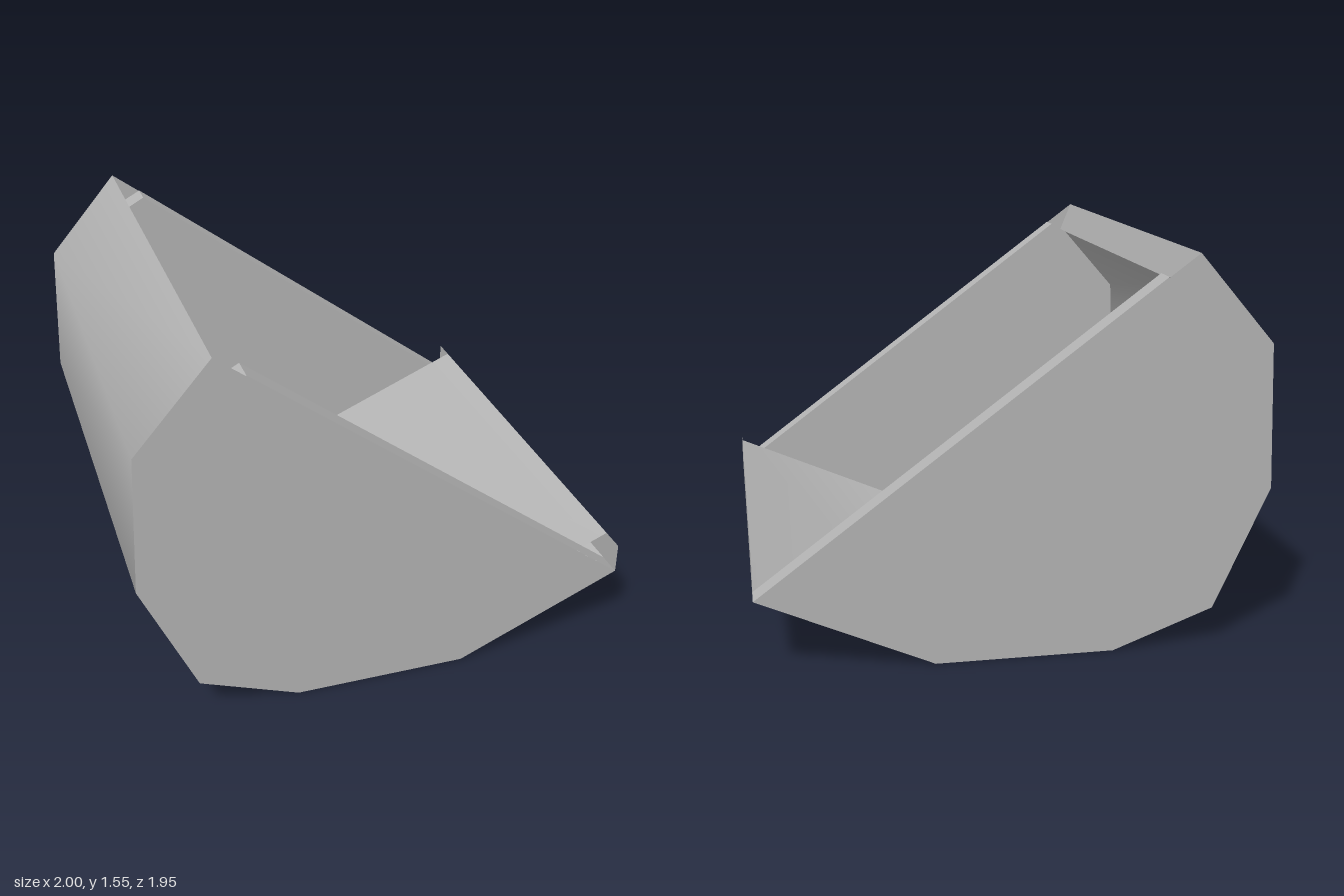
import * as THREE from 'three';

export function createModel() {
  const group = new THREE.Group();
  const grey = new THREE.MeshStandardMaterial({ color: 0xb4b4b4, side: THREE.DoubleSide });
  grey.name = 'plain grey';

  const HALF = 0.975;   // outer half length
  const INNER = 0.875;  // half length of the cavity

  // Cross-sections, from the upper lip round the back to the lower lip
  const outer = [[-0.68, 1.55], [-0.98, 1.2], [-1, 0.63], [-0.78, 0.15], [-0.38, 0], [0.32, 0], [1, 0.3]];
  const inner = [[-0.63, 1.425], [-0.87, 1.15], [-0.89, 0.65], [-0.69, 0.25], [-0.35, 0.12], [0.3, 0.12], [1, 0.425]];

  function add(name, geometry) {
    const mesh = new THREE.Mesh(geometry, grey);
    mesh.name = name;
    group.add(mesh);
    return mesh;
  }

  // Smooth sheet: a profile swept along z, facing the left of its direction
  function sheet(name, profile, z0, z1) {
    const positions = [], index = [];
    profile.forEach(([x, y], i) => {
      positions.push(x, y, z0, x, y, z1);
      if (i) {
        const a = 2 * i - 2;
        index.push(a, a + 1, a + 3, a, a + 3, a + 2);
      }
    });
    const geometry = new THREE.BufferGeometry();
    geometry.setAttribute('position', new THREE.Float32BufferAttribute(positions, 3));
    geometry.setIndex(index);
    geometry.computeVertexNormals();
    return add(name, geometry);
  }

  // Flat end plate facing +z or -z
  function plate(name, profile, z, facing) {
    const shape = new THREE.Shape(profile.map(([x, y]) => new THREE.Vector2(x, y)));
    const mesh = add(name, new THREE.ShapeGeometry(shape));
    mesh.position.z = z;
    if (facing < 0) {
      // Turn the plate over while keeping its outline
      const index = mesh.geometry.index.array;
      for (let i = 0; i < index.length; i += 3) [index[i], index[i + 1]] = [index[i + 1], index[i]];
      mesh.geometry.computeVertexNormals();
    }
  }

  // Curved shell and cavity
  sheet('outerShell', [...outer].reverse(), -HALF, HALF);
  sheet('innerShell', inner, -INNER, INNER);

  // Lips joining the two shells
  sheet('upperLip', [outer[0], inner[0]], -HALF, HALF);
  sheet('lowerLip', [inner[6], outer[6]], -HALF, HALF);

  // End walls with their sloping rims
  const cavity = [...inner.slice(0, 6), [0.894, 0.379], [-0.56, 1.464]];
  for (const side of [1, -1]) {
    plate('endWall', outer, side * HALF, side);
    plate('innerEndWall', cavity, side * INNER, -side);
    const z = side > 0 ? [INNER, HALF] : [-HALF, -INNER];
    sheet('endRim', [[-0.56, 1.464], [1, 0.3]], ...z);
    sheet('rimCorner', [inner[0], [-0.56, 1.464]], ...z);
  }
  return group;
}
